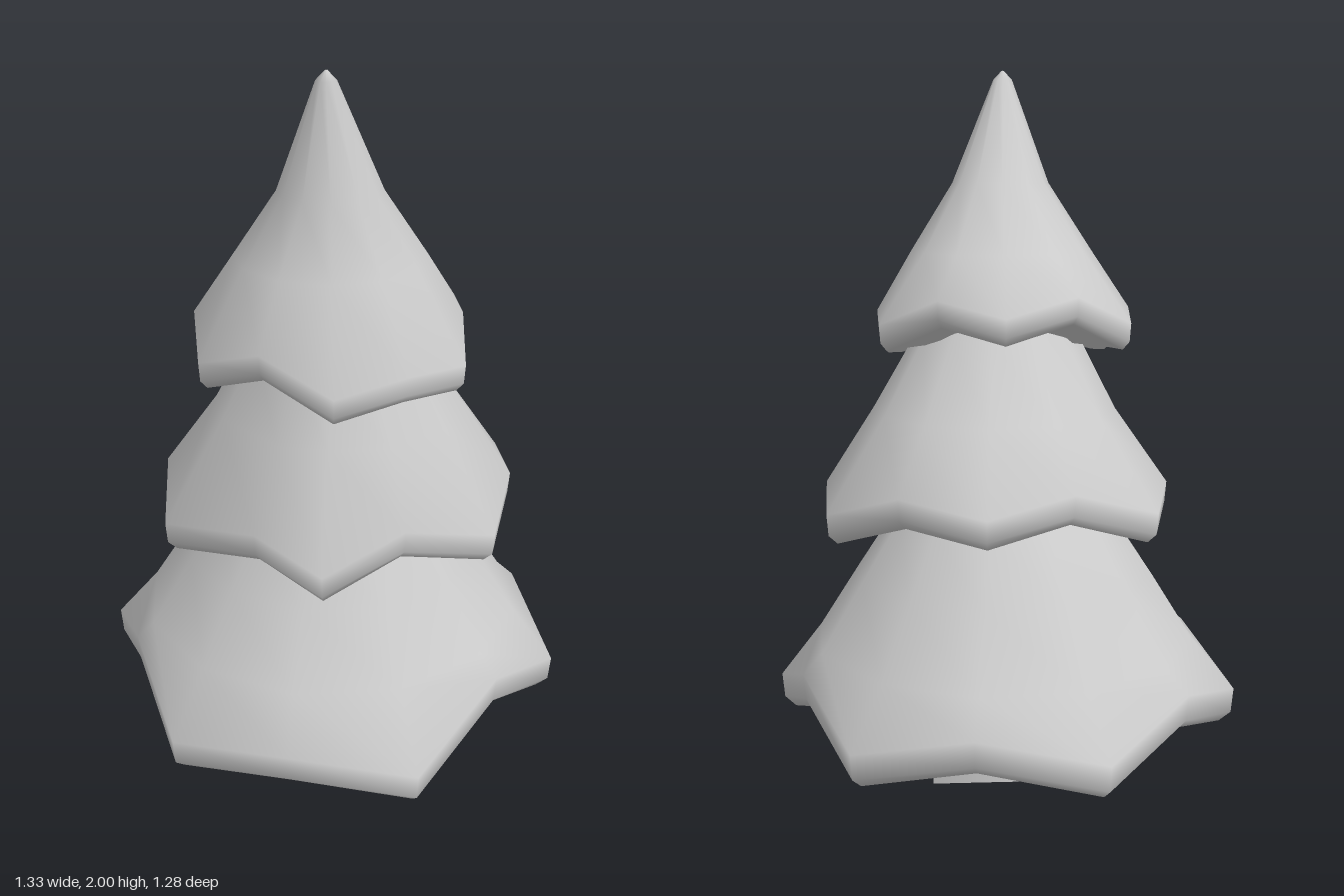
import * as THREE from 'three';

const material = new THREE.MeshStandardMaterial({ color: 0xcccccc, side: THREE.DoubleSide });

// hem: 12 points [x, y, z] alternating tip and notch, from the front tip towards +x.
// upper: round sections [y, centreX, centreZ, radius] from the top down.
// under: inner sections of the underside [scale, level height, blend from hem to level].
function makeTier(name, hem, upper, lip, under) {
  const n = hem.length;
  const mid = [0, 1, 2].map((k) => hem.reduce((s, p) => s + p[k], 0) / n);
  const rings = upper.map(([y, cx, cz, r]) => hem.map((p) => {
    const a = Math.atan2(p[0] - mid[0], p[2] - mid[2]);
    return [cx + r * Math.sin(a), y, cz + r * Math.cos(a)];
  }));
  const hemRing = (scale, dy, level = 0, blend = 0) => hem.map((p) => [
    mid[0] + (p[0] - mid[0]) * scale,
    p[1] + (level - p[1]) * blend + dy,
    mid[2] + (p[2] - mid[2]) * scale,
  ]);
  // Outer rim and the thick rounded lip, then the underside
  rings.push(hemRing(1, lip), hemRing(0.99, lip * 0.2), hemRing(0.94, -0.01), hemRing(0.82, -0.005));
  for (const [scale, level, blend] of under) rings.push(hemRing(scale, 0, level, blend));

  const index = [];
  for (let i = 0; i < rings.length - 1; i++) {
    for (let j = 0; j < n; j++) {
      const k = (j + 1) % n;
      const a = i * n + j, b = a + n, c = (i + 1) * n + k, d = i * n + k;
      index.push(a, b, c, a, c, d);
    }
  }
  const geometry = new THREE.BufferGeometry();
  geometry.setAttribute('position', new THREE.Float32BufferAttribute(rings.flat(2), 3));
  geometry.setIndex(index);
  geometry.computeVertexNormals();
  const mesh = new THREE.Mesh(geometry, material);
  mesh.name = name;
  return mesh;
}

export function createModel() {
  const group = new THREE.Group();
  group.name = 'tree';

  // Square tapered trunk, open at the bottom
  const trunkGeometry = new THREE.CylinderGeometry(0.18, 0.315, 0.5, 4, 1, true);
  trunkGeometry.rotateY(Math.PI / 4);
  const trunk = new THREE.Mesh(trunkGeometry, material);
  trunk.position.set(-0.01, 0.25, 0.007);
  trunk.name = 'trunk';
  group.add(trunk);

  // Wide lower branches, with an opening around the trunk
  group.add(makeTier('lowerBranches', [
    [0.24, 0.09, 0.64], [0.47, 0.23, 0.38], [0.665, 0.125, 0.12], [0.575, 0.235, -0.19],
    [0.43, 0.135, -0.525], [0.11, 0.21, -0.635], [-0.24, 0.14, -0.645], [-0.48, 0.23, -0.4],
    [-0.665, 0.14, -0.12], [-0.565, 0.25, 0.2], [-0.435, 0.11, 0.515], [-0.115, 0.15, 0.635],
  ], [
    [0.95, 0, 0.05, 0.17], [0.74, 0, 0.03, 0.315], [0.57, 0, 0, 0.43], [0.38, 0, 0, 0.55],
  ], 0.09, [[0.46, 0.24, 0.9], [0.33, 0.5, 1]]));

  // Middle branches
  group.add(makeTier('middleBranches', [
    [-0.02, 0.67, 0.545], [0.2, 0.76, 0.46], [0.45, 0.68, 0.33], [0.515, 0.745, 0.08],
    [0.5, 0.71, -0.19], [0.3, 0.79, -0.35], [0.07, 0.76, -0.48], [-0.17, 0.8, -0.375],
    [-0.41, 0.72, -0.265], [-0.475, 0.75, 0], [-0.46, 0.67, 0.25], [-0.2, 0.75, 0.46],
  ], [
    [1.42, 0.01, 0.12, 0.13], [1.25, 0.015, 0.1, 0.235], [1.04, 0.025, 0.055, 0.35],
  ], 0.075, [[0.55, 0.74, 0.6]]));

  // Upper branches, ending in a peak that leans forwards
  group.add(makeTier('upperBranches', [
    [0.01, 1.165, 0.495], [0.2, 1.2, 0.43], [0.355, 1.18, 0.3], [0.36, 1.255, 0.1],
    [0.35, 1.235, -0.1], [0.19, 1.31, -0.2], [0.01, 1.27, -0.295], [-0.19, 1.32, -0.22],
    [-0.35, 1.235, -0.1], [-0.37, 1.26, 0.11], [-0.345, 1.185, 0.3], [-0.18, 1.255, 0.42],
  ], [
    [2, -0.01, 0.235, 0.003], [1.975, -0.01, 0.235, 0.027],
    [1.68, 0, 0.17, 0.14], [1.49, 0, 0.115, 0.26],
  ], 0.065, [[0.5, 1.235, 0.6]]));

  return group;
}
